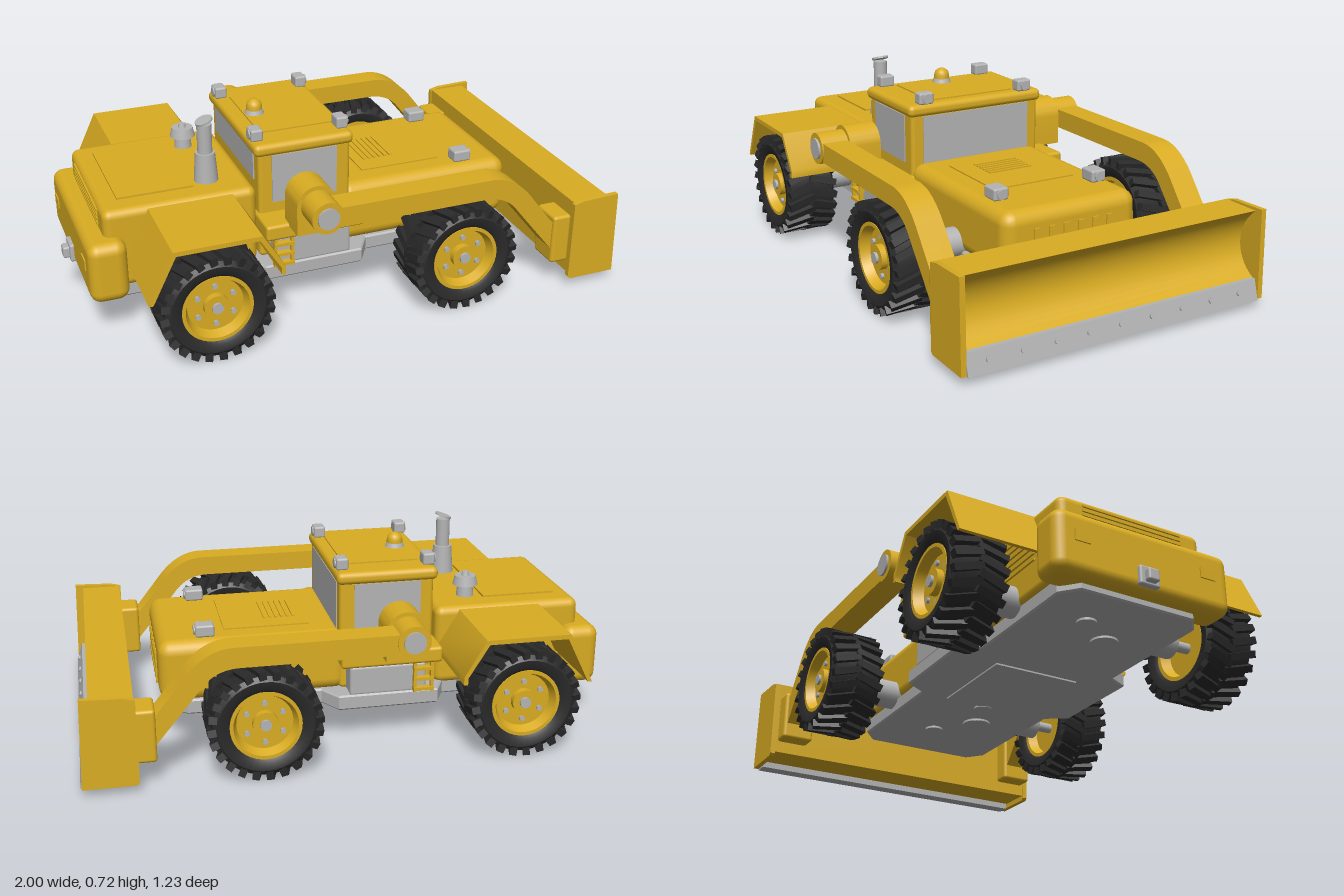
import * as THREE from 'three';
import { mergeGeometries, toCreasedNormals } from 'three/addons/utils/BufferGeometryUtils.js';
import { RoundedBoxGeometry } from 'three/addons/geometries/RoundedBoxGeometry.js';

const material = (name, color) => Object.assign(new THREE.MeshStandardMaterial({ color }), { name });

export function createModel() {
  const yellow = material('yellow paint', 0xd9ac22);
  const grey = material('grey metal', 0xb4b4b4);
  const black = material('black rubber', 0x2a2a2a);
  const model = new THREE.Group();
  model.name = 'wheelDozer';

  const add = (name, geo, mat, x = 0, y = 0, z = 0, parent = model) => {
    const mesh = new THREE.Mesh(geo, mat);
    mesh.name = name;
    mesh.position.set(x, y, z);
    parent.add(mesh);
    return mesh;
  };
  // Block given by its limits on each axis, with optional rounded edges
  const block = (name, mat, [x0, x1], [y0, y1], [z0, z1], r = 0, parent = model) => {
    const size = [x1 - x0, y1 - y0, z1 - z0];
    const geo = r ? new RoundedBoxGeometry(...size, 3, r) : new THREE.BoxGeometry(...size);
    return add(name, geo, mat, (x0 + x1) / 2, (y0 + y1) / 2, (z0 + z1) / 2, parent);
  };
  const cyl = (r0, r1, h, n = 24) => new THREE.CylinderGeometry(r0, r1, h, n);
  const cylZ = (r, h, n = 24) => cyl(r, r, h, n).rotateX(Math.PI / 2);
  const cylX = (r, h, n = 16) => cyl(r, r, h, n).rotateZ(Math.PI / 2);
  // Side profile pulled along z, centred on z = 0
  const slab = (shape, depth) => toCreasedNormals(
    new THREE.ExtrudeGeometry(shape, { depth, bevelEnabled: false, curveSegments: 14 }).translate(0, 0, -depth / 2), 0.6);
  const polygon = (pts) => new THREE.Shape(pts.map(([x, y]) => new THREE.Vector2(x, y)));

  // Chassis plate, wider below the cab
  const half = [[-0.9, 0.22], [-0.84, 0.27], [-0.36, 0.27], [-0.32, 0.35], [0.05, 0.35], [0.1, 0.27], [0.6, 0.27], [0.66, 0.22]];
  const outline = polygon([...half, ...half.map(([x, z]) => [x, -z]).reverse()]);
  add('chassis', new THREE.ExtrudeGeometry(outline, { depth: 0.045, bevelSize: 0.006, bevelThickness: 0.006, bevelSegments: 1 })
    .rotateX(-Math.PI / 2), grey, 0, 0.13, 0);
  block('bellyPanel', grey, [-0.28, 0.1], [0.118, 0.126], [-0.17, 0.17]);
  for (const [x, z, r] of [[-0.62, 0.06, 0.05], [-0.72, -0.08, 0.035], [0.28, 0.06, 0.055], [0.42, -0.06, 0.035], [0.12, 0, 0.035]])
    add('drainCover', cyl(r, r, 0.008), grey, x, 0.12, z);

  // Bodywork
  block('hood', yellow, [0, 0.7], [0.17, 0.405], [-0.277, 0.277], 0.05);
  block('engineCover', yellow, [-0.89, -0.33], [0.17, 0.473], [-0.29, 0.29], 0.03);
  block('counterweight', yellow, [-0.96, -0.82], [0.148, 0.377], [-0.35, 0.35], 0.04);
  block('hitchPlate', grey, [-0.975, -0.95], [0.165, 0.235], [-0.04, 0.04], 0.008);
  block('hitch', grey, [-0.998, -0.965], [0.175, 0.22], [-0.022, 0.022], 0.008);
  block('hoodPanel', yellow, [0.13, 0.45], [0.4, 0.41], [-0.17, 0.17]);
  block('engineHatch', yellow, [-0.82, -0.54], [0.47, 0.48], [-0.2, 0.2]);
  for (let i = 0; i < 6; i++) {
    const x = 0.17 + i * 0.022;
    block('hoodLouver', yellow, [x, x + 0.01], [0.408, 0.415], [-0.09, 0.09]);
    const z = -0.15 + i * 0.06;
    block('grilleBar', yellow, [0.695, 0.706], [0.21, 0.34], [z - 0.012, z + 0.012]);
  }
  for (let i = 0; i < 4; i++) {
    const y = 0.39 + i * 0.017;
    block('rearLouver', yellow, [-0.896, -0.885], [y, y + 0.008], [-0.2, 0.2]);
  }

  // Cab with windows, roof and beacon
  block('platform', yellow, [-0.33, 0.05], [0.3, 0.36], [-0.39, 0.39], 0.012);
  block('cab', yellow, [-0.32, 0.035], [0.18, 0.6], [-0.278, 0.278], 0.015);
  block('roof', yellow, [-0.335, 0.045], [0.585, 0.632], [-0.29, 0.29], 0.02);
  block('roofPanel', yellow, [-0.28, 0], [0.63, 0.637], [-0.18, 0.18]);
  block('frontWindow', grey, [0.033, 0.039], [0.402, 0.585], [-0.23, 0.23]);
  block('rearWindow', grey, [-0.325, -0.318], [0.48, 0.585], [-0.23, 0.23]);
  add('beaconBase', cyl(0.032, 0.038, 0.018), grey, -0.24, 0.643, 0);
  const dome = [[0.03, 0], [0.03, 0.02], [0.026, 0.035], [0.014, 0.045], [0, 0.048]].map(p => new THREE.Vector2(...p));
  add('beacon', new THREE.LatheGeometry(dome, 20), yellow, -0.24, 0.645, 0);

  // Exhaust stack and air intake
  add('exhaustBase', cyl(0.036, 0.045, 0.115), grey, -0.48, 0.525, 0.155);
  add('exhaustPipe', cyl(0.027, 0.027, 0.12), grey, -0.48, 0.632, 0.155);
  add('exhaustFlap', cyl(0.033, 0.033, 0.008), grey, -0.48, 0.704, 0.155).rotation.z = 0.35;
  add('intakeNeck', cyl(0.028, 0.034, 0.06), grey, -0.48, 0.495, -0.155);
  add('intakeCap', cyl(0.04, 0.048, 0.035), grey, -0.48, 0.535, -0.155);
  add('intakeTop', cyl(0.012, 0.016, 0.015), grey, -0.48, 0.56, -0.155);

  // Work lamp facing along x
  const lamp = (x, y, z, w, d, dir) => {
    const g = new THREE.Group();
    g.name = 'workLamp';
    g.position.set(x, y, z);
    model.add(g);
    add('lampHousing', new RoundedBoxGeometry(w, 0.045, d, 2, 0.008), grey, 0, 0, 0, g);
    add('lampLens', cylX(0.018, 0.01), grey, dir * w / 2, 0, 0, g);
  };

  // Tyre with staggered lugs, shared by all wheels
  const lathe = (pts) => toCreasedNormals(
    new THREE.LatheGeometry(pts.map(p => new THREE.Vector2(...p)), 40).rotateX(Math.PI / 2), 0.6);
  const tyre = lathe([[0.125, -0.085], [0.14, -0.096], [0.168, -0.1], [0.186, -0.088], [0.186, 0.088], [0.168, 0.1], [0.14, 0.096], [0.125, 0.085]]);
  const rim = lathe([[0, -0.05], [0.1, -0.05], [0.112, -0.088], [0.127, -0.088], [0.127, 0.09], [0.114, 0.09], [0.1, 0.055], [0, 0.055]]);
  const lugs = [];
  for (let i = 0; i < 48; i++) {
    const side = i % 2 ? 1 : -1;
    lugs.push(new THREE.BoxGeometry(0.026, 0.03, 0.11).rotateY(side * 0.3)
      .translate(0, 0.188, side * 0.046).rotateZ(i * Math.PI / 24));
  }
  const tread = mergeGeometries(lugs);
  const wheel = (x, s) => {
    const g = new THREE.Group();
    g.name = 'wheel';
    g.position.set(x, 0.204, s * 0.51);
    if (s < 0) g.rotation.y = Math.PI;
    model.add(g);
    add('tyre', tyre, black, 0, 0, 0, g);
    add('tread', tread, black, 0, 0, 0, g);
    add('rim', rim, yellow, 0, 0, 0, g);
    add('hub', cylZ(0.045, 0.03), yellow, 0, 0, 0.065, g);
    add('hubCap', cylZ(0.02, 0.03, 16), grey, 0, 0, 0.075, g);
    for (let i = 0; i < 6; i++) {
      const a = i * Math.PI / 3 + Math.PI / 6;
      add('wheelBolt', cylZ(0.01, 0.012, 8), grey, 0.073 * Math.cos(a), 0.073 * Math.sin(a), 0.059, g);
    }
  };
  for (const x of [-0.58, 0.36]) {
    add('axleCase', cylZ(0.055, 0.76), grey, x, 0.204, 0);
    add('axle', cylZ(0.02, 0.95), grey, x, 0.204, 0);
  }

  // Side profiles of the fender, arm and arm pivot
  const fender = slab(polygon([[-0.82, 0.275], [-0.73, 0.462], [-0.42, 0.462], [-0.34, 0.33], [-0.34, 0.3],
    [-0.355, 0.3], [-0.355, 0.325], [-0.43, 0.445], [-0.72, 0.445], [-0.805, 0.275]].reverse()), 0.335);
  const armShape = new THREE.Shape();
  armShape.moveTo(-0.17, 0.415);
  armShape.lineTo(0.44, 0.415);
  armShape.quadraticCurveTo(0.53, 0.415, 0.58, 0.345);
  armShape.lineTo(0.74, 0.15);
  armShape.lineTo(0.78, 0.15);
  armShape.lineTo(0.78, 0.25);
  armShape.lineTo(0.73, 0.27);
  armShape.lineTo(0.64, 0.385);
  armShape.quadraticCurveTo(0.56, 0.49, 0.46, 0.49);
  armShape.lineTo(-0.17, 0.49);
  const arm = slab(armShape, 0.1);
  const pivotShape = new THREE.Shape();
  pivotShape.moveTo(-0.245, 0.35);
  pivotShape.lineTo(-0.095, 0.35);
  pivotShape.lineTo(-0.095, 0.46);
  pivotShape.absarc(-0.17, 0.46, 0.075, 0, Math.PI);
  const pivot = slab(pivotShape, 0.125);

  // Everything that repeats on both sides
  for (const s of [-1, 1]) {
    const span = (a, b) => s > 0 ? [a, b] : [-b, -a];
    wheel(-0.58, s);
    wheel(0.36, s);
    add('rearFender', fender, yellow, 0, 0, s * 0.4475);
    add('armPivot', pivot, yellow, 0, 0, s * 0.4075);
    add('pushArm', arm, yellow, 0, 0, s * 0.522);
    add('armEye', cylZ(0.06, 0.11, 32), yellow, -0.17, 0.46, s * 0.522);
    add('armPin', cylZ(0.04, 0.13), grey, -0.17, 0.46, s * 0.52);
    block('bladeBracket', yellow, [0.735, 0.81], [0.095, 0.29], span(0.46, 0.585), 0.012);
    block('sideWindow', grey, [-0.27, -0.02], [0.4, 0.585], span(0.276, 0.282));
    block('sideTank', grey, [-0.28, 0.01], [0.175, 0.29], span(0.2, 0.35), 0.012);
    block('cornerNotch', yellow, [-0.965, -0.955], [0.26, 0.3], span(0.22, 0.28));
    // Entry ladder
    for (const x of [-0.3, -0.235]) block('ladderRail', yellow, [x, x + 0.012], [0.185, 0.31], span(0.365, 0.38));
    for (const y of [0.19, 0.23, 0.27]) block('ladderRung', yellow, [-0.3, -0.223], [y, y + 0.012], span(0.36, 0.385));
    // Engine side louvers
    for (let i = 0; i < 6; i++)
      block('sideLouver', yellow, [-0.74, -0.5], [0.29 + i * 0.024, 0.3 + i * 0.024], span(0.285, 0.297));
    lamp(-0.31, 0.652, s * 0.215, 0.045, 0.06, -1);
    lamp(0.017, 0.652, s * 0.215, 0.045, 0.06, 1);
    lamp(0.525, 0.427, s * 0.205, 0.07, 0.06, 1);
  }

  // Blade: curved mouldboard, end plates and bolted cutting edge
  const board = new THREE.Shape();
  board.moveTo(0.805, 0.05);
  board.lineTo(0.96, 0.05);
  board.lineTo(0.965, 0.1);
  board.bezierCurveTo(0.87, 0.15, 0.86, 0.27, 0.955, 0.348);
  board.lineTo(0.805, 0.348);
  add('bladeMouldboard', slab(board, 1.2), yellow);
  const endPlate = slab(polygon([[0.8, 0.04], [0.81, 0.03], [0.995, 0.03], [0.985, 0.36], [0.84, 0.355], [0.8, 0.345]]), 0.02);
  for (const s of [-1, 1]) add('bladeEndPlate', endPlate, yellow, 0, 0, s * 0.603);
  const edge = slab(polygon([[0.945, 0.026], [1, 0.026], [0.978, 0.102], [0.945, 0.102]]), 1.18);
  add('cuttingEdge', edge, grey);
  for (let i = -4; i <= 4; i++)
    add('edgeBolt', cylX(0.011, 0.012, 12), grey, 0.988, 0.068, i * 0.1275).rotation.z = 0.28;

  return model;
}
